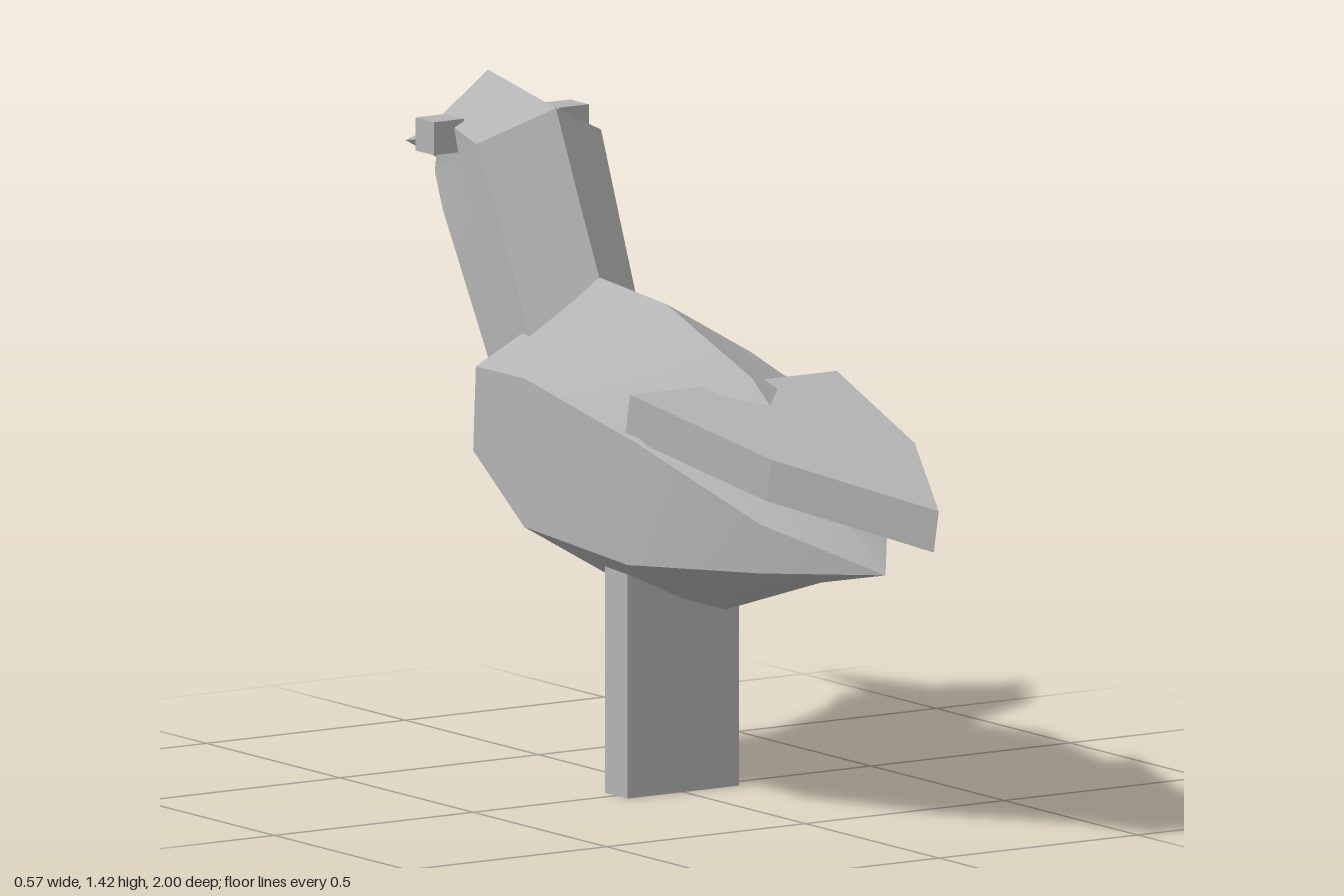
import * as THREE from 'three';
import { toCreasedNormals } from 'three/addons/utils/BufferGeometryUtils.js';

// Mirrored loft running towards the beak. Each section lists [x, y, z] from the
// upper ridge down the left side to the lower ridge; both ends close to a point.
function loft(start, sections, end, crease) {
  const rings = sections.map((s) => [
    ...s,
    ...s.slice(1, -1).reverse().map(([x, y, z]) => [-x, y, z]),
  ]);
  const n = rings[0].length;
  const pos = [];
  const tri = (a, b, c) => pos.push(...a, ...b, ...c);
  for (let j = 0; j < n; j++) {
    const k = (j + 1) % n;
    tri(start, rings[0][k], rings[0][j]);
    for (let i = 0; i < rings.length - 1; i++) {
      const [p, q] = [rings[i], rings[i + 1]];
      if (j < n / 2) {
        tri(p[j], p[k], q[k]);
        tri(p[j], q[k], q[j]);
      } else {
        tri(p[j], p[k], q[j]);
        tri(p[k], q[k], q[j]);
      }
    }
    const last = rings[rings.length - 1];
    tri(end, last[j], last[k]);
  }
  const g = new THREE.BufferGeometry();
  g.setAttribute('position', new THREE.Float32BufferAttribute(pos, 3));
  return toCreasedNormals(g, crease);
}

export function createModel() {
  const group = new THREE.Group();
  const grey = new THREE.MeshStandardMaterial({ color: 0xb3b3b3 });
  grey.name = 'grey';

  const add = (name, geometry, x = 0, y = 0, z = 0) => {
    const mesh = new THREE.Mesh(geometry, grey);
    mesh.name = name;
    mesh.position.set(x, y, z);
    group.add(mesh);
    return mesh;
  };

  // Six-sided body, pointed at the rear and blunt at the chest
  add('body', loft([0, 0.57, 0.8], [
    [[0, 0.72, 0.57], [0.16, 0.66, 0.57], [0.16, 0.555, 0.56], [0, 0.52, 0.56]],
    [[0, 0.915, 0.3], [0.265, 0.8, 0.25], [0.267, 0.535, 0.23], [0, 0.41, 0.2]],
    [[0, 1.025, -0.02], [0.285, 0.88, -0.13], [0.285, 0.565, -0.13], [0, 0.41, -0.18]],
    [[0, 1.045, -0.27], [0.225, 0.86, -0.4], [0.225, 0.68, -0.41], [0, 0.56, -0.46]],
  ], [0, 0.78, -0.48], 0.65));

  // Neck and head in one leaning six-sided form
  add('neckAndHead', loft([0, 0.85, -0.37], [
    [[0, 0.94, -0.22], [0.14, 0.9, -0.31], [0.14, 0.79, -0.44], [0, 0.76, -0.515]],
    [[0, 1.19, -0.345], [0.148, 1.13, -0.415], [0.148, 1.0, -0.55], [0, 1.0, -0.63]],
    [[0, 1.38, -0.435], [0.157, 1.31, -0.5], [0.15, 1.15, -0.635], [0, 1.155, -0.735]],
    [[0, 1.425, -0.69], [0.135, 1.34, -0.67], [0.1, 1.21, -0.74], [0, 1.2, -0.76]],
  ], [0, 1.31, -0.775], 0.65));

  // Four-sided beak
  add('beak', loft([0, 1.27, -0.74], [
    [[0, 1.335, -0.75], [0.066, 1.28, -0.75], [0, 1.19, -0.75]],
  ], [0, 1.23, -1], 0.3));

  // Eyes
  for (const [name, side] of [['leftEye', 1], ['rightEye', -1]]) {
    add(name, new THREE.BoxGeometry(0.075, 0.07, 0.07), side * 0.157, 1.31, -0.637);
  }

  // Thick pointed tail plate, sloping down to the rear
  const outline = new THREE.Shape(
    [[-0.26, 0], [0.26, 0], [0.18, 0.42], [0, 0.786], [-0.18, 0.42]]
      .map(([x, y]) => new THREE.Vector2(x, y)));
  const tail = new THREE.ExtrudeGeometry(outline, { depth: 0.092, bevelEnabled: false });
  tail.rotateX(Math.PI / 2 + 0.205);
  add('tail', tail, 0, 0.895, 0.23);

  // Single slab leg
  add('leg', new THREE.BoxGeometry(0.28, 0.5, 0.085), 0, 0.25, 0);

  return group;
}
